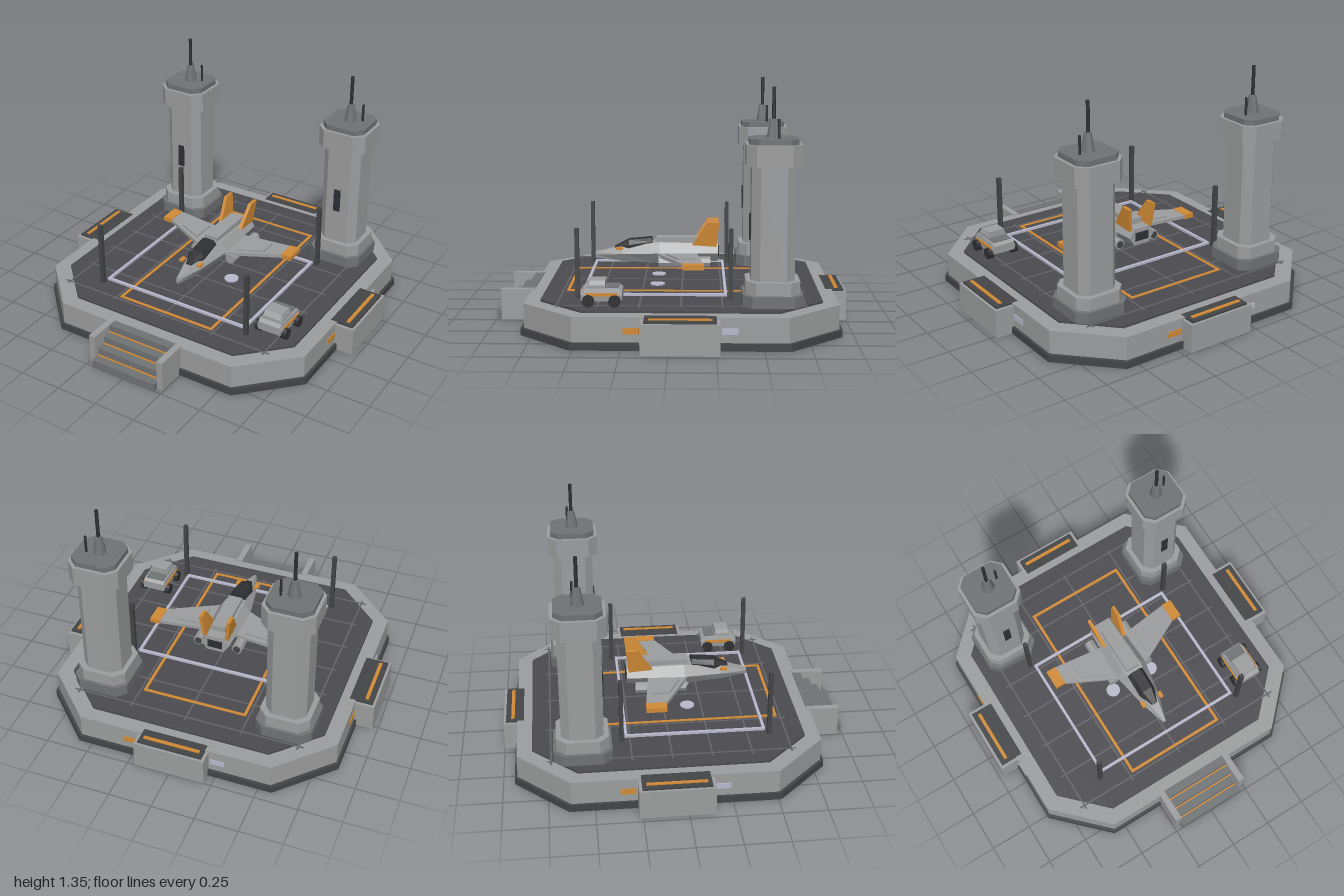
import * as THREE from 'three';

const mat = (name, color) => new THREE.MeshStandardMaterial({ name, color, flatShading: true });
const ZC = -0.0625; // centre of the platform along z

export function createModel() {
  const light = mat('light grey', 0x9b9c9d), mid = mat('mid grey', 0x6f7273), dark = mat('deck grey', 0x4b4a4f);
  const foot = mat('footing grey', 0x434446), black = mat('near black', 0x2e2f32);
  const orange = mat('orange', 0xd08a35), lilac = mat('pale lilac', 0xb9b8cb), line = mat('grid grey', 0x626368);

  const root = new THREE.Group();
  root.name = 'landingPad';
  const group = (name, parent = root, x = 0, y = 0, z = 0) => {
    const g = new THREE.Group();
    g.name = name;
    g.position.set(x, y, z);
    parent.add(g);
    return g;
  };
  const add = (parent, name, geo, m, x = 0, y = 0, z = 0) => {
    const mesh = new THREE.Mesh(geo, m);
    mesh.name = name;
    mesh.position.set(x, y, z);
    parent.add(mesh);
    return mesh;
  };
  // box given by its limits on each axis
  const box = (p, name, m, x0, x1, y0, y1, z0, z1) =>
    add(p, name, new THREE.BoxGeometry(x1 - x0, y1 - y0, z1 - z0), m, (x0 + x1) / 2, (y0 + y1) / 2, (z0 + z1) / 2);
  // flat plate from an outline of [x, z] points
  const plate = (p, name, m, pts, y0, y1) => {
    const shape = new THREE.Shape(pts.map(([x, z]) => new THREE.Vector2(x, -z)));
    const geo = new THREE.ExtrudeGeometry(shape, { depth: y1 - y0, bevelEnabled: false }).rotateX(-Math.PI / 2);
    return add(p, name, geo, m, 0, y0, 0);
  };
  // square plate with cut corners
  const octagon = (p, name, m, r, cut, y0, y1) => {
    const k = r - cut;
    return plate(p, name, m, [[r, -k], [r, k], [k, r], [-k, r], [-r, k], [-r, -k], [-k, -r], [k, -r]], y0, y1);
  };
  // hull through hexagonal sections [z, halfWidth, bottom, middle, top], front to back
  const hull = (p, name, m, sections, topRatio, bottomRatio) => {
    const pos = [], idx = [], n = 6;
    for (const [z, w, b, c, t] of sections)
      pos.push(w, c, z, w * topRatio, t, z, -w * topRatio, t, z, -w, c, z, -w * bottomRatio, b, z, w * bottomRatio, b, z);
    const last = (sections.length - 1) * n;
    for (let s = 0; s < last; s += n)
      for (let j = 0; j < n; j++) {
        const a = s + j, b = s + (j + 1) % n;
        idx.push(a, a + n, b, b, a + n, b + n);
      }
    for (let j = 1; j < n - 1; j++) idx.push(0, j, j + 1, last, last + j + 1, last + j);
    const geo = new THREE.BufferGeometry();
    geo.setAttribute('position', new THREE.Float32BufferAttribute(pos, 3));
    geo.setIndex(idx);
    const flat = geo.toNonIndexed();
    flat.computeVertexNormals();
    return add(p, name, flat, m);
  };
  // rectangular outline painted on or above the deck
  const frame = (name, m, x, z0, z1, w, y0, y1) => {
    const g = group(name);
    for (const s of [-1, 1]) box(g, 'sideLine', m, s * x - w / 2, s * x + w / 2, y0, y1, z0, z1);
    for (const z of [z0, z1]) box(g, 'endLine', m, -x - w / 2, x + w / 2, y0, y1, z - w / 2, z + w / 2);
  };

  // Platform
  const base = group('platform', root, 0, 0, ZC);
  octagon(base, 'footing', foot, 0.873, 0.295, 0, 0.04);
  octagon(base, 'platformBody', light, 0.857, 0.29, 0.04, 0.175);
  octagon(base, 'deck', dark, 0.77, 0.245, 0.175, 0.187);
  const DECK = 0.187;

  // Deck markings
  const grid = group('deckGrid');
  for (let i = -2; i <= 2; i++) box(grid, 'gridLine', line, i * 0.33 - 0.005, i * 0.33 + 0.005, DECK, DECK + 0.002, ZC - 0.69, ZC + 0.69);
  for (let i = -3; i <= 3; i++) {
    const z = ZC + i * 0.222;
    box(grid, 'gridLine', line, -0.69, 0.69, DECK, DECK + 0.0025, z - 0.005, z + 0.005);
  }
  frame('orangeOutline', orange, 0.305, -0.6, 0.577, 0.017, DECK, DECK + 0.005);
  frame('barrierRail', lilac, 0.465, -0.305, 0.48, 0.016, 0.197, 0.211);
  for (const s of [-1, 1]) add(root, 'deckLight', new THREE.CylinderGeometry(0.042, 0.042, 0.008, 16), lilac, s * 0.135, DECK + 0.004, 0.08);

  // Corner posts
  for (const x of [-0.49, 0.49]) for (const z of [-0.332, 0.508])
    box(root, 'post', foot, x - 0.012, x + 0.012, DECK, 0.575, z - 0.012, z + 0.012);

  // Side bays with marker plates, on the left, back and right
  [[Math.PI / 2, 0.97], [Math.PI, 0.9375], [-Math.PI / 2, 0.97]].forEach(([turn, out]) => {
    const g = group('sideBay', root, 0, 0, ZC);
    g.rotation.y = turn;
    box(g, 'bayBody', light, -0.207, 0.207, 0, 0.165, 0.8, out);
    box(g, 'bayTop', foot, -0.188, 0.188, 0.165, 0.176, 0.82, out - 0.015);
    box(g, 'bayStrip', orange, -0.165, 0.165, 0.176, 0.182, out - 0.065, out - 0.045);
    box(g, 'orangeMarker', orange, -0.3, -0.215, 0.085, 0.118, 0.855, 0.862);
    box(g, 'lilacMarker', lilac, 0.215, 0.3, 0.085, 0.118, 0.855, 0.862);
  });

  // Front steps
  const stairs = group('stairs');
  for (let i = 0; i < 4; i++) {
    const z = 1 - i * 0.056, top = 0.045 * (i + 1);
    box(stairs, 'step', mid, -0.207, 0.207, 0, top, 0.78, z);
    if (i < 3) box(stairs, 'stepEdge', orange, -0.207, 0.207, top, top + 0.005, z - 0.056, z - 0.048);
  }
  for (const s of [-1, 1]) box(stairs, 'stairWall', light, s * 0.225 - 0.019, s * 0.225 + 0.019, 0, 0.18, 0.78, 0.97);

  // Towers
  for (const s of [-1, 1]) {
    const t = group('tower', root, s * 0.552, 0, -0.552);
    octagon(t, 'towerPlinth', mid, 0.162, 0.05, DECK, 0.25);
    octagon(t, 'towerCollar', light, 0.145, 0.052, 0.25, 0.322);
    octagon(t, 'towerShaft', light, 0.117, 0.046, 0.322, 0.935);
    octagon(t, 'towerCap', light, 0.148, 0.053, 0.935, 1.05);
    octagon(t, 'towerRoof', mid, 0.13, 0.045, 1.05, 1.08);
    box(t, 'windowSlit', black, -0.02, 0.02, 0.53, 0.67, 0.115, 0.125);
    add(t, 'mastFoot', new THREE.CylinderGeometry(0.02, 0.038, 0.1, 8), mid, 0, 1.13, 0);
    add(t, 'mast', new THREE.CylinderGeometry(0.01, 0.01, 0.17, 6), black, 0, 1.265, 0);
    add(t, 'smallAerial', new THREE.CylinderGeometry(0.007, 0.007, 0.105, 6), black, 0.067, 1.13, -0.024);
  }

  // Hovering ship
  const ship = group('ship');
  hull(ship, 'fuselage', light, [
    [0.45, 0.01, 0.315, 0.335, 0.35], [0.29, 0.06, 0.303, 0.348, 0.39],
    [0.07, 0.1, 0.297, 0.36, 0.42], [-0.27, 0.085, 0.31, 0.36, 0.41]], 0.6, 0.6);
  hull(ship, 'canopy', black, [
    [0.335, 0.022, 0.36, 0.372, 0.388], [0.25, 0.05, 0.37, 0.4, 0.428], [0.115, 0.052, 0.38, 0.42, 0.44]], 0.6, 1);
  box(ship, 'spine', light, -0.042, 0.042, 0.4, 0.445, -0.21, 0.09);
  box(ship, 'engineOutlet', black, -0.045, 0.045, 0.335, 0.385, -0.275, -0.268);
  for (const s of [-1, 1]) {
    plate(ship, 'wing', light, [[s * 0.07, 0.095], [s * 0.385, -0.065], [s * 0.385, -0.183], [s * 0.07, -0.145]], 0.34, 0.36);
    plate(ship, 'wingPanel', light, [[s * 0.14, 0.03], [s * 0.285, -0.04], [s * 0.285, -0.14], [s * 0.14, -0.125]], 0.36, 0.369);
    box(ship, 'wingTip', orange, s * 0.415 - 0.031, s * 0.415 + 0.031, 0.335, 0.363, -0.185, -0.068);
    const pod = add(ship, 'engine', new THREE.CylinderGeometry(0.032, 0.032, 0.3, 8), light, s * 0.12, 0.317, -0.075);
    pod.rotation.x = Math.PI / 2;
    const nozzle = add(ship, 'engineNozzle', new THREE.CylinderGeometry(0.022, 0.022, 0.008, 8), foot, s * 0.12, 0.317, -0.227);
    nozzle.rotation.x = Math.PI / 2;
    box(ship, 'noseMarker', orange, s * 0.06 - 0.012, s * 0.06 + 0.012, 0.375, 0.387, 0.285, 0.325);
    // Fin drawn in the side plane, then leaned outwards
    const outline = [[0.12, 0], [0.21, 0.135], [0.275, 0.135], [0.26, -0.01]].map(([x, y]) => new THREE.Vector2(x, y));
    const geo = new THREE.ExtrudeGeometry(new THREE.Shape(outline), { depth: 0.02, bevelEnabled: false });
    geo.translate(0, 0, -0.01).rotateY(Math.PI / 2);
    add(ship, 'tailFin', geo, orange, s * 0.07, 0.408, 0).rotation.z = -s * 0.11;
  }

  // Service truck
  const truck = group('truck', root, 0.613, 0, 0.36);
  hull(truck, 'truckBody', light, [
    [0.112, 0.072, 0.222, 0.25, 0.27], [0.095, 0.075, 0.215, 0.25, 0.285],
    [-0.09, 0.075, 0.215, 0.25, 0.285], [-0.11, 0.072, 0.222, 0.25, 0.27]], 0.9, 0.95);
  hull(truck, 'truckCab', light, [[0.085, 0.06, 0.28, 0.29, 0.3], [0.065, 0.06, 0.28, 0.3, 0.325], [-0.02, 0.06, 0.28, 0.3, 0.325]], 0.85, 1);
  box(truck, 'truckBed', mid, -0.056, 0.056, 0.28, 0.29, -0.09, -0.025);
  for (const s of [-1, 1]) {
    box(truck, 'truckStripe', orange, s * 0.075 - 0.004, s * 0.075 + 0.004, 0.245, 0.262, -0.085, 0.085);
    for (const z of [-0.07, 0.07])
      add(truck, 'wheel', new THREE.CylinderGeometry(0.033, 0.033, 0.035, 10), black, s * 0.08, 0.22, z).rotation.z = Math.PI / 2;
  }
  return root;
}
